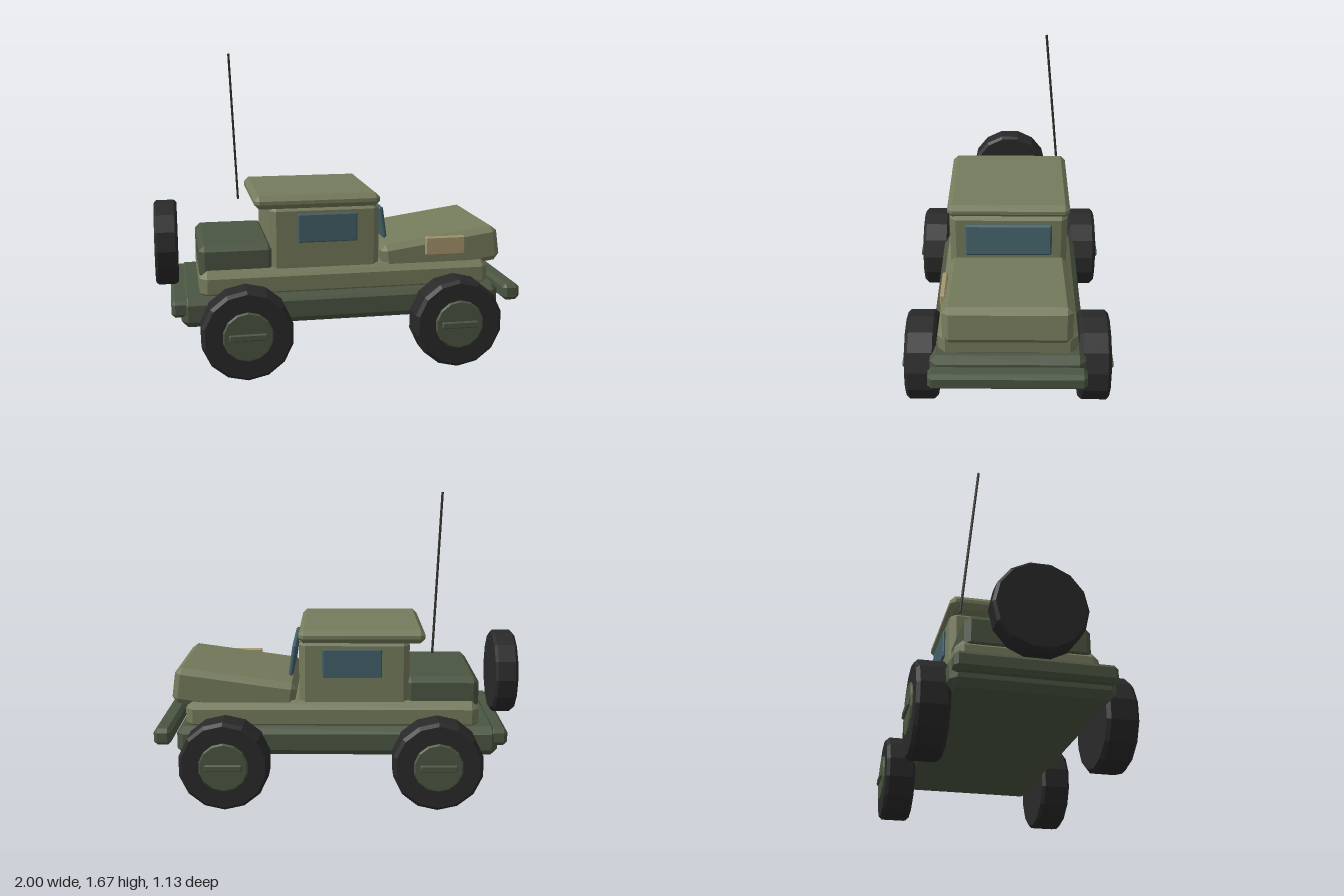
import * as THREE from 'three';
import { ConvexGeometry } from 'three/addons/geometries/ConvexGeometry.js';

const paint = (name, color) => {
  const m = new THREE.MeshStandardMaterial({ color });
  m.name = name;
  return m;
};

// Box with chamfered edges: three hull points at every corner
function chamferBox(w, h, d, c) {
  const pts = [];
  for (const sx of [-1, 1]) for (const sy of [-1, 1]) for (const sz of [-1, 1]) {
    const x = w / 2, y = h / 2, z = d / 2;
    pts.push(
      new THREE.Vector3(sx * x, sy * (y - c), sz * (z - c)),
      new THREE.Vector3(sx * (x - c), sy * y, sz * (z - c)),
      new THREE.Vector3(sx * (x - c), sy * (y - c), sz * z)
    );
  }
  return new ConvexGeometry(pts);
}

// Faceted disc with chamfered rims, axis along y
function chamferDisc(r, width, c, sides = 14) {
  const h = width / 2;
  const profile = [[0, -h], [r - c, -h], [r, c - h], [r, h - c], [r - c, h], [0, h]];
  const geo = new THREE.LatheGeometry(profile.map(p => new THREE.Vector2(...p)), sides).toNonIndexed();
  geo.computeVertexNormals();
  return geo;
}

export function createModel() {
  const olive = paint('olive paint', 0x757b5c);
  const darkGreen = paint('dark green paint', 0x4b5642);
  const rubber = paint('black rubber', 0x292929);
  const glass = paint('teal glass', 0x426068);
  const tan = paint('tan panel', 0xa6966f);
  const metal = paint('antenna metal', 0x30342c);

  const model = new THREE.Group();
  model.name = 'offRoadTruck';

  const add = (name, geo, mat, parent = model) => {
    const mesh = new THREE.Mesh(geo, mat);
    mesh.name = name;
    parent.add(mesh);
    return mesh;
  };
  // Chamfered block given by its extents on x and y, and its half width on z
  const block = (name, mat, [x0, x1], [y0, y1], halfZ, c) => {
    const mesh = add(name, chamferBox(x1 - x0, y1 - y0, halfZ * 2, c), mat);
    mesh.position.set((x0 + x1) / 2, (y0 + y1) / 2, 0);
    return mesh;
  };

  // Body
  block('chassis', darkGreen, [-0.87, 0.875], [0.26, 0.42], 0.405, 0.035);
  block('lowerBody', olive, [-0.77, 0.83], [0.39, 0.55], 0.362, 0.04);
  block('cabin', olive, [-0.39, 0.21], [0.5, 0.89], 0.327, 0.033);
  block('roof', olive, [-0.473, 0.213], [0.87, 0.943], 0.34, 0.027);
  block('rearBed', darkGreen, [-0.77, -0.37], [0.5, 0.68], 0.32, 0.03);
  block('frontBumper', darkGreen, [0.905, 1], [0.318, 0.41], 0.405, 0.02);
  block('rearBumper', darkGreen, [-0.922, -0.825], [0.318, 0.41], 0.395, 0.02);

  // Hood, rising toward the nose
  const hood = add('hood', chamferBox(0.67, 0.2, 0.66, 0.032), olive);
  hood.position.set(0.565, 0.588, 0);
  hood.rotation.z = 0.14;

  // Windows
  const windshield = add('windshield', chamferBox(0.027, 0.18, 0.48, 0.01), glass);
  windshield.position.set(0.247, 0.757, 0);
  windshield.rotation.z = 0.14;
  for (const s of [-1, 1]) {
    const win = add('sideWindow', chamferBox(0.323, 0.157, 0.027, 0.006), glass);
    win.position.set(-0.078, 0.763, s * 0.326);
  }

  // Panel on one side of the hood
  const panel = add('hoodPanel', chamferBox(0.223, 0.103, 0.027, 0.006), tan);
  panel.position.set(0.578, 0.636, 0.337);

  // Wheels
  const tyreGeo = chamferDisc(0.245, 0.165, 0.018).rotateX(Math.PI / 2);
  const hubGeo = chamferDisc(0.134, 0.05, 0.008).rotateX(Math.PI / 2);
  const barGeo = chamferBox(0.2, 0.037, 0.03, 0.006);
  for (const x of [-0.535, 0.605]) for (const s of [-1, 1]) {
    const wheel = new THREE.Group();
    wheel.name = 'wheel';
    wheel.position.set(x, 0.247, s * 0.46);
    add('tyre', tyreGeo, rubber, wheel);
    add('hub', hubGeo, darkGreen, wheel).position.z = s * 0.069;
    add('hubBar', barGeo, darkGreen, wheel).position.z = s * 0.091;
    model.add(wheel);
  }

  // Spare wheel behind the bed
  const spare = add('spareWheel', chamferDisc(0.236, 0.125, 0.015).rotateZ(Math.PI / 2), rubber);
  spare.position.set(-0.9375, 0.64, 0);

  // Leaning antenna
  const foot = new THREE.Vector3(-0.511, 0.815, -0.298);
  const tip = new THREE.Vector3(-0.555, 1.67, -0.217);
  const dir = tip.clone().sub(foot);
  const antenna = add('antenna', new THREE.CylinderGeometry(0.007, 0.007, dir.length(), 6), metal);
  antenna.position.copy(foot).add(tip).multiplyScalar(0.5);
  antenna.quaternion.setFromUnitVectors(new THREE.Vector3(0, 1, 0), dir.normalize());

  return model;
}
